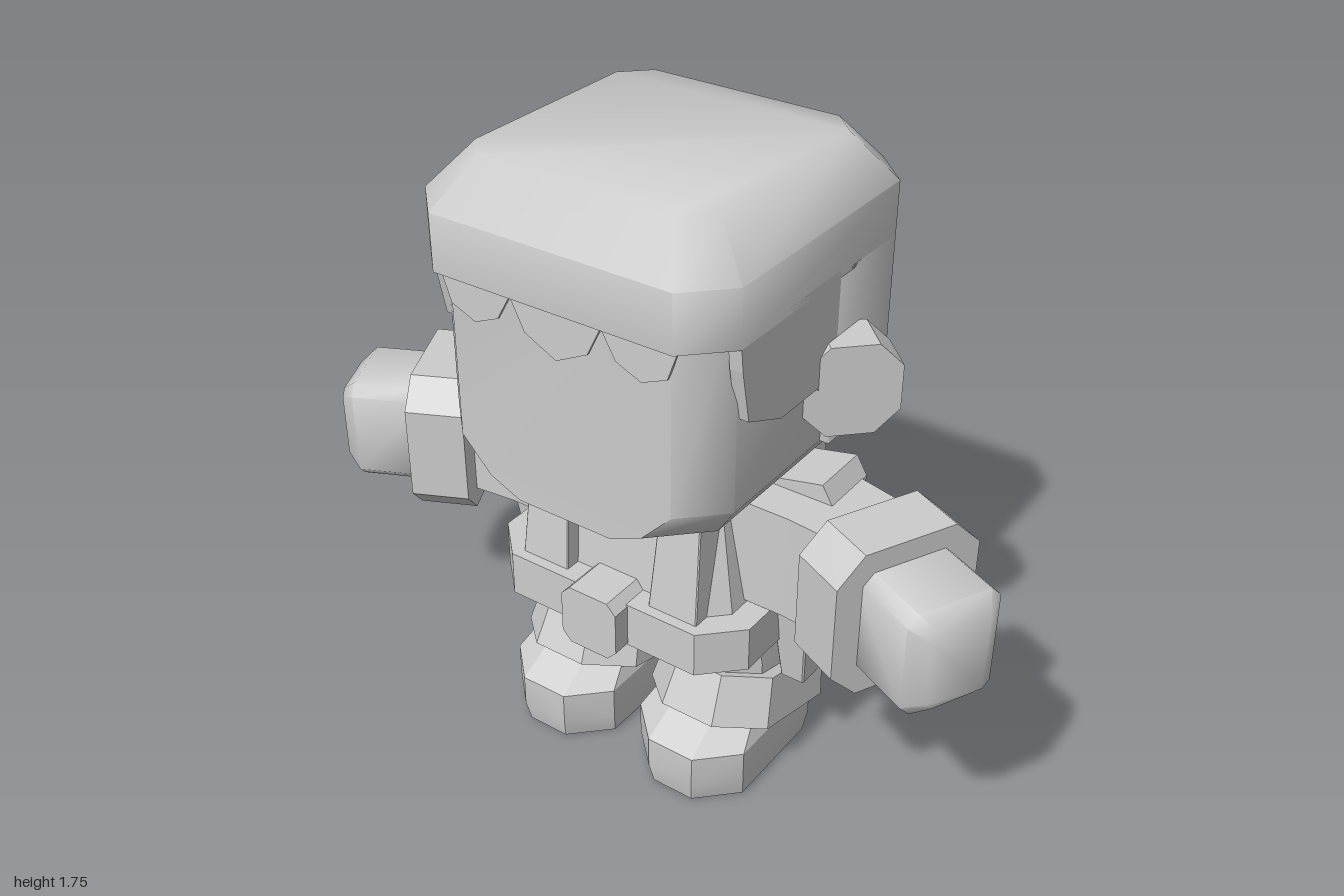
import * as THREE from 'three';
import { toCreasedNormals } from 'three/addons/utils/BufferGeometryUtils.js';

const grey = new THREE.MeshStandardMaterial({ color: 0xcccccc });
grey.name = 'light grey';

// Octagonal ring at height y: half width hx, depth z0..z1, corner cuts at back (c) and front (cf)
const ring = (y, hx, z0, z1, c, cf = c) => [
  [hx, z0 + c], [hx, z1 - cf], [hx - cf, z1], [cf - hx, z1],
  [-hx, z1 - cf], [-hx, z0 + c], [c - hx, z0], [hx - c, z0],
].map(([x, z]) => [x, y, z]);

// Closed solid through a stack of rings, bottom to top
function loft(rings, crease = 0.3) {
  const n = 8, index = [], last = (rings.length - 1) * n;
  for (let r = 0; r < rings.length - 1; r++) {
    for (let i = 0; i < n; i++) {
      const a = r * n + i, b = r * n + (i + 1) % n;
      index.push(a, a + n, b, b, a + n, b + n);
    }
  }
  for (let k = 1; k < n - 1; k++) index.push(0, k, k + 1, last, last + k + 1, last + k);
  const g = new THREE.BufferGeometry();
  g.setAttribute('position', new THREE.Float32BufferAttribute(rings.flat(2), 3));
  g.setIndex(index);
  return toCreasedNormals(g, crease);
}

function extrude(points, depth) {
  const shape = new THREE.Shape(points.map(([x, y]) => new THREE.Vector2(x, y)));
  return new THREE.ExtrudeGeometry(shape, { depth, bevelEnabled: false });
}

function add(parent, name, geometry, x = 0, y = 0, z = 0) {
  const mesh = new THREE.Mesh(geometry, grey);
  mesh.name = name;
  mesh.position.set(x, y, z);
  parent.add(mesh);
  return mesh;
}

function buildHead(root) {
  const head = new THREE.Group();
  head.name = 'head';
  root.add(head);
  add(head, 'face', loft([
    ring(0.9, 0.15, -0.415, 0.415, 0.01),
    ring(0.94, 0.36, -0.415, 0.415, 0.13),
    ring(1.03, 0.42, -0.415, 0.415, 0.105),
    ring(1.6, 0.42, -0.415, 0.415, 0.105),
  ], 0.9));
  add(head, 'hairCap', loft([
    ring(1.48, 0.445, -0.443, 0.445, 0.105),
    ring(1.63, 0.445, -0.443, 0.445, 0.105),
    ring(1.75, 0.34, -0.34, 0.34, 0.07),
  ], 0.9));
  add(head, 'backHair', loft([
    ring(1.03, 0.445, -0.443, -0.07, 0.105, 0.002),
    ring(1.49, 0.445, -0.443, -0.07, 0.105, 0.002),
  ], 0.9));
  // Scalloped fringe lying on the forehead
  const half = [[0.09, 1.39], [0.13, 1.47], [0.17, 1.4], [0.24, 1.37], [0.31, 1.4], [0.335, 1.47], [0.335, 1.5]];
  const left = half.map(([x, y]) => [-x, y]).reverse();
  add(head, 'fringe', extrude([...left, [0, 1.345], ...half], 0.008), 0, 0, 0.414);
}

// Everything that is paired, built for the +x side
function buildSide(side) {
  // Hair hanging over the temple
  const temple = extrude([
    [0.08, 1.09], [0, 1.22], [-0.16, 1.22], [-0.3, 1.28], [-0.33, 1.42], [-0.34, 1.5], [0.08, 1.5],
  ], 0.035).rotateY(Math.PI / 2);
  add(side, 'templeHair', temple, 0.41);

  // Ear disc facing diagonally forward
  const a = 0.122, c = 0.062;
  const ear = extrude([
    [a, c - a], [a, a - c], [a - c, a], [c - a, a], [-a, a - c], [-a, c - a], [c - a, -a], [a - c, -a],
  ], 0.127).translate(0, 0, -0.0635);
  add(side, 'ear', ear, 0.46, 1.203, -0.11).rotation.y = Math.PI / 4;

  // Upper arm, outlined from above
  const arm = extrude([
    [0.2, 0.2], [0.45, 0.17], [0.7, 0.11], [0.63, -0.12], [0.44, -0.1], [0.2, -0.1],
  ], 0.3).rotateX(-Math.PI / 2);
  add(side, 'upperArm', arm, 0, 0.6);
  add(side, 'shoulder', extrude([
    [0.22, 0.84], [0.5, 0.84], [0.5, 0.9], [0.47, 0.95], [0.24, 0.9],
  ], 0.17), 0, 0, -0.18);

  // Cuff and hand along a forward-leaning axis
  const forearm = new THREE.Group();
  forearm.name = 'forearm';
  forearm.position.set(0.69, 0.7525, 0.04);
  forearm.rotation.y = -0.45;
  side.add(forearm);
  add(forearm, 'cuff', loft([
    ring(-0.08, 0.2075, -0.205, 0.205, 0.075),
    ring(0.08, 0.2075, -0.205, 0.205, 0.075),
  ]).rotateZ(-Math.PI / 2));
  add(forearm, 'hand', loft([
    ring(0.05, 0.148, -0.132, 0.132, 0.03),
    ring(0.255, 0.148, -0.132, 0.132, 0.03),
    ring(0.298, 0.11, -0.092, 0.092, 0.02),
  ], 0.9).rotateZ(-Math.PI / 2));

  // Straps over the front and back of the jacket
  add(side, 'frontStrap', loft([
    ring(0.57, 0.075, 0.1, 0.255, 0.003),
    ring(0.91, 0.06, 0.1, 0.215, 0.003),
  ]), 0.205);
  add(side, 'backStrap', loft([
    ring(0.57, 0.07, -0.413, -0.25, 0.003),
    ring(0.925, 0.06, -0.365, -0.2, 0.003),
  ]), 0.205);

  // Tapered hip pouch
  add(side, 'hipPouch', loft([
    ring(0.328, 0.035, -0.14, 0.015, 0.004),
    ring(0.59, 0.055, -0.195, 0.053, 0.004),
  ]), 0.42).geometry.translate(0.008, 0, 0);

  // Leg, tilted boot band and shoe
  add(side, 'leg', loft([
    ring(0.15, 0.135, -0.26, 0.125, 0.08),
    ring(0.36, 0.128, -0.26, 0.125, 0.08),
    ring(0.5, 0.11, -0.26, 0.125, 0.07),
  ]), 0.225);
  add(side, 'bootBand', loft([
    ring(-0.07, 0.19, -0.255, 0.258, 0.11),
    ring(0.07, 0.168, -0.242, 0.232, 0.1),
  ]), 0.218, 0.225, -0.066).rotation.x = -0.265;
  add(side, 'shoe', loft([
    ring(0, 0.162, -0.247, 0.262, 0.1),
    ring(0.06, 0.17, -0.26, 0.275, 0.1),
    ring(0.155, 0.17, -0.26, 0.275, 0.1),
    ring(0.215, 0.145, -0.24, 0.17, 0.08),
  ]), 0.216);
}

export function createModel() {
  const root = new THREE.Group();
  root.name = 'blockyFigure';
  buildHead(root);

  // Flared jacket, belt and buckle
  add(root, 'jacket', loft([
    ring(0.57, 0.33, -0.35, 0.21, 0.05),
    ring(0.91, 0.26, -0.295, 0.17, 0.05),
  ]));
  add(root, 'belt', loft([
    ring(0.46, 0.395, -0.415, 0.283, 0.1),
    ring(0.59, 0.395, -0.415, 0.283, 0.1),
  ]));
  add(root, 'buckle', extrude([
    [0.087, 0.465], [0.087, 0.585], [0.06, 0.614], [-0.06, 0.614],
    [-0.087, 0.585], [-0.087, 0.465], [-0.06, 0.436], [0.06, 0.436],
  ], 0.135), 0, 0, 0.2);

  for (const s of [1, -1]) {
    const side = new THREE.Group();
    side.name = s > 0 ? 'leftSide' : 'rightSide';
    side.scale.x = s;
    buildSide(side);
    root.add(side);
  }
  return root;
}
